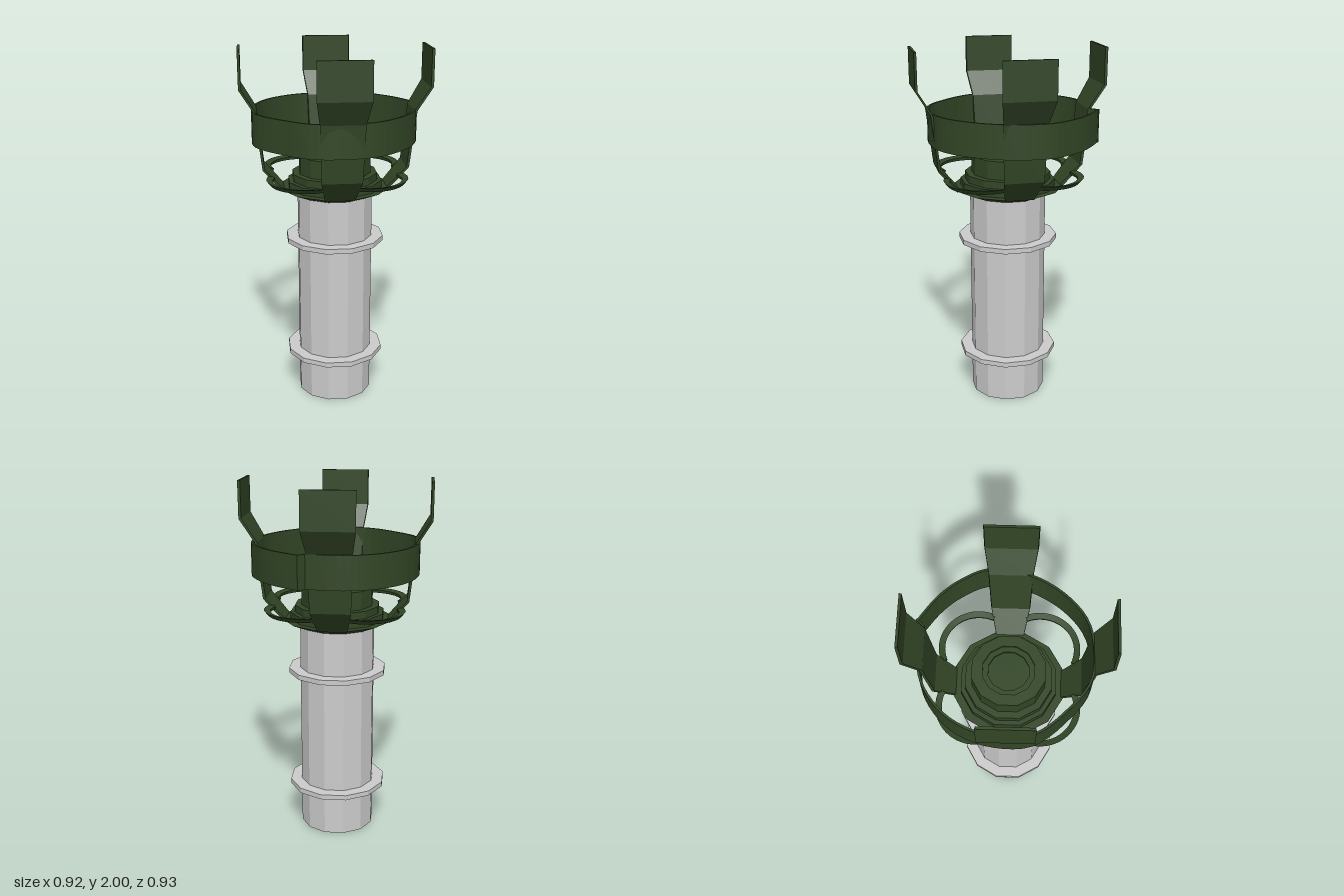
import * as THREE from 'three';

const SIDES = 12;

export function createModel() {
  const model = new THREE.Group();
  const grey = new THREE.MeshStandardMaterial({ color: 0xcccccc, flatShading: true });
  const green = new THREE.MeshStandardMaterial({ color: 0x324626, flatShading: true, side: THREE.DoubleSide });
  const v2 = ([x, y]) => new THREE.Vector2(x, y);

  function add(name, geometry, material, parent = model) {
    const mesh = new THREE.Mesh(geometry, material);
    mesh.name = name;
    parent.add(mesh);
    return mesh;
  }

  // Twelve-sided column with two collars
  add('column', new THREE.CylinderGeometry(0.21, 0.21, 1.2, SIDES), grey).position.y = 0.6;
  for (const y of [0.257, 0.942]) {
    add('collar', new THREE.CylinderGeometry(0.275, 0.275, 0.028, SIDES), grey).position.y = y;
  }

  // Flared base with a stepped core and a shallow recess on top
  const core = [
    [0, 1.2], [0.21, 1.2], [0.305, 1.24], [0.262, 1.24], [0.262, 1.28], [0.237, 1.28],
    [0.237, 1.32], [0.2, 1.32], [0.2, 1.42], [0.14, 1.42], [0.14, 1.41], [0.11, 1.41],
    [0.11, 1.4], [0, 1.4],
  ];
  add('headCore', new THREE.LatheGeometry(core.map(v2), SIDES), green);

  // Four bent prongs, each one facet wide, continuing the flare upward
  const outer = [[0.305, 1.235], [0.412, 1.36], [0.449, 1.67], [0.531, 1.8], [0.531, 2]];
  const inner = outer.map(([r, y], i) => [r - 0.014, i === 0 ? y + 0.008 : y]).reverse();
  const section = [...outer, ...inner];
  const phi = Math.PI / 6;
  for (let i = 0; i < 4; i++) {
    const prong = new THREE.Group();
    prong.name = 'prong';
    prong.rotation.y = i * Math.PI / 2;
    add('prongPlate', new THREE.LatheGeometry([...section, section[0]].map(v2), 1, phi, phi), green, prong);
    for (const a of [phi, 2 * phi]) {
      const side = new THREE.ShapeGeometry(new THREE.Shape(section.map(v2)));
      add('prongEdge', side.rotateY(a - Math.PI / 2), green, prong);
    }
    model.add(prong);
  }

  // Slanted hoop arcs bridging neighbouring prongs
  const hoop = [[0.185, 1.3], [0.193, 1.3], [0.214, 1.325], [0.18, 1.318], [0.185, 1.3]];
  for (let i = 0; i < 4; i++) {
    const pivot = new THREE.Group();
    pivot.name = 'hoop';
    pivot.rotation.y = i * Math.PI / 2;
    const reach = 1.2;
    add('hoopArc', new THREE.LatheGeometry(hoop.map(v2), 20, -reach, 2 * reach), green, pivot).position.z = 0.235;
    model.add(pivot);
  }

  // Wrapped band: an uneven loop whose ends overlap with a small step
  const path = [
    [-0.215, -0.44], [-0.05, -0.467], [0.1, -0.455], [0.25, -0.395], [0.38, -0.22], [0.428, 0],
    [0.385, 0.2], [0.21, 0.385], [0, 0.424], [-0.22, 0.395], [-0.38, 0.24], [-0.455, 0.05],
    [-0.44, -0.14], [-0.36, -0.28], [-0.22, -0.395],
  ];
  const rim = new THREE.SplineCurve(path.map(v2)).getPoints(64);
  const inside = rim.map((p) => p.clone().multiplyScalar(1 - 0.012 / p.length())).reverse();
  const bandShape = new THREE.Shape([...rim, ...inside]);
  const band = new THREE.ExtrudeGeometry(bandShape, { depth: 0.18, bevelEnabled: false });
  add('band', band.rotateX(Math.PI / 2), green).position.y = 1.675;
  // Step joining the two ends
  const step = add('bandStep', new THREE.BoxGeometry(0.01, 0.18, 0.055), green);
  step.position.set(-0.216, 1.585, -0.415);

  return model;
}
